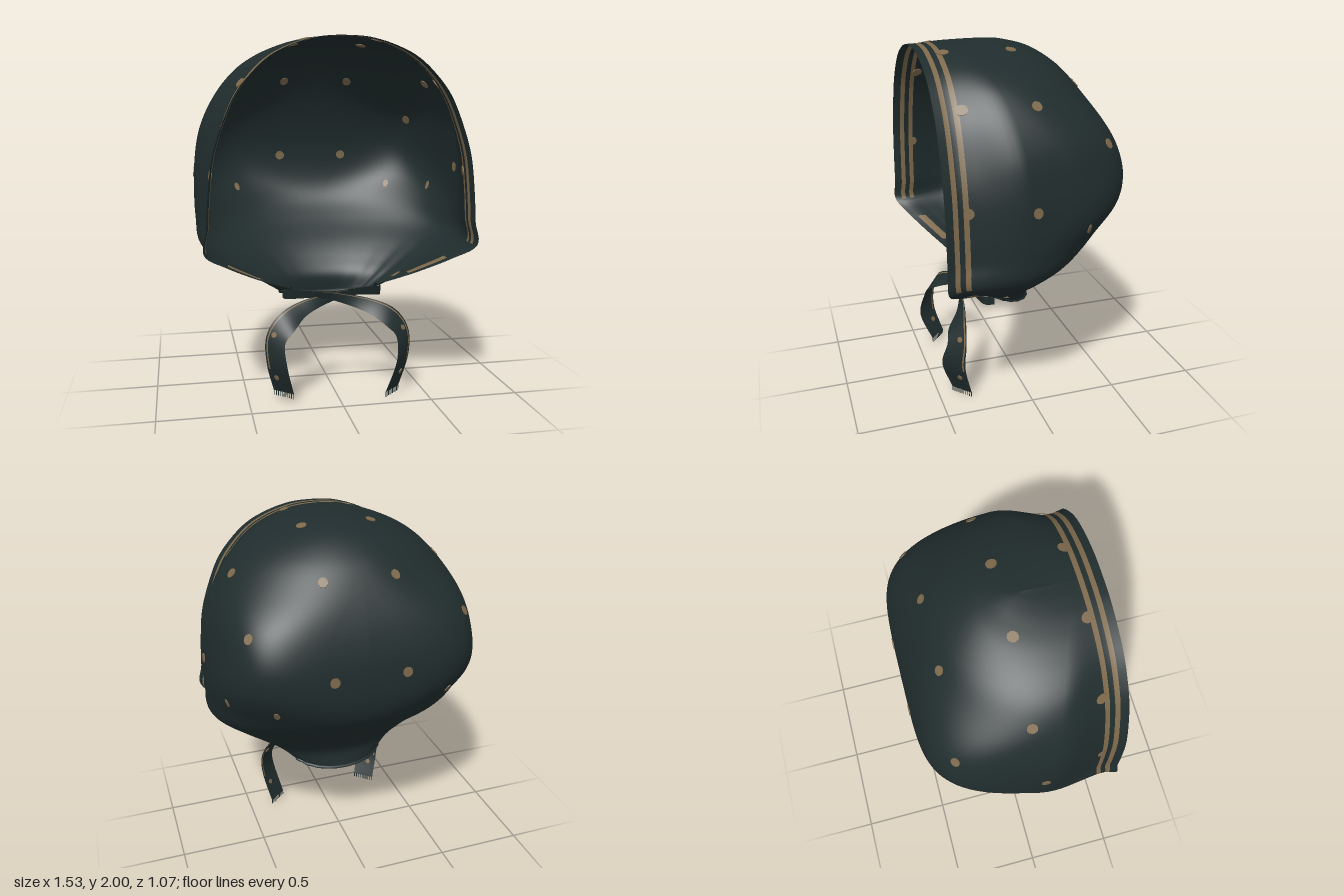
import * as THREE from 'three';

const fabric = new THREE.MeshStandardMaterial({ color: 0x202c2d, side: THREE.DoubleSide });
fabric.name = 'dark green fabric';
const tan = new THREE.MeshStandardMaterial({ color: 0x7d694b, side: THREE.DoubleSide });
tan.name = 'tan print';

// Sections of the hood from crown to neck: front edge (half width, y, z), back (widest half width, y, z)
const SECTIONS = [
  [0, 1.975, .53, 0, 2.0, .15],
  [.07, 1.973, .53, .09, 1.997, .07],
  [.145, 1.963, .53, .19, 1.982, -.01],
  [.25, 1.932, .53, .31, 1.95, -.12],
  [.36, 1.88, .53, .44, 1.885, -.23],
  [.455, 1.80, .53, .55, 1.80, -.32],
  [.55, 1.68, .53, .65, 1.66, -.41],
  [.62, 1.52, .53, .725, 1.50, -.48],
  [.67, 1.35, .53, .757, 1.33, -.522],
  [.693, 1.15, .53, .765, 1.15, -.525],
  [.702, 1.0, .53, .76, 1.02, -.48],
  [.715, .87, .53, .742, .90, -.37],
  [.60, .785, .455, .635, .78, -.23],
  [.47, .71, .37, .51, .69, -.15],
  [.36, .655, .30, .395, .60, -.095],
  [.24, .605, .235, .285, .495, -.10],
];
const LAST = SECTIONS.length - 1;
const curve = (pts) => new THREE.CatmullRomCurve3(pts, false, 'catmullrom', 0.5);
const frontCurve = curve(SECTIONS.map((s) => new THREE.Vector3(s[0], s[1], s[2])));
const backCurve = curve(SECTIONS.map((s) => new THREE.Vector3(s[3], s[4], s[5])));

const HEM = [0, .042, .068, .095, .122]; // distances of the stripe borders from the front edge
const SIDE = 7, BACK = 24, ROWS = 90;
const HALF = HEM.length - 1 + SIDE + BACK;
const { lerp, smoothstep } = THREE.MathUtils;

// A point of the hood: t runs from crown to neck, k from the front edge to the middle of the back
function hoodPoint(t, k, sign) {
  const f = frontCurve.getPoint(t), b = backCurve.getPoint(t);
  const depth = f.z - b.z, reach = depth * .4;
  const h = HEM.length - 1;
  let x, z;
  if (k <= h + SIDE) {
    const d = k <= h ? HEM[k] : lerp(HEM[h], reach, (k - h) / SIDE);
    const flare = 1 + .025 * Math.max(0, 1 - d / .1) ** 2;
    x = lerp(f.x, b.x, smoothstep(d / reach, .15, 1)) * flare;
    z = f.z - d;
  } else {
    // round at the crown and neck, squarer and tapered around the upper back corners
    const a = ((k - h - SIDE) / BACK) * Math.PI / 2;
    const square = Math.exp(-(((t - 7.5 / LAST) / .088) ** 2));
    const p = 2 / (2.15 + 3.6 * square);
    const u = Math.sin(a) ** p;
    x = k === HALF ? 0 : b.x * Math.cos(a) ** p * (1 - (.05 + .1 * square) * u ** 1.5);
    z = f.z - reach - (depth - reach) * u;
  }
  const y = lerp(f.y, b.y, (f.z - z) / depth);
  // soft gathers towards the neck
  const gather = 1 + .018 * smoothstep(t, .74, 1) * Math.sin(k * 1.5);
  return new THREE.Vector3(sign * x * gather, y, z);
}

// Indexed grid with two material groups
function gridGeometry(rows, isTan) {
  const n = rows[0].length, plain = [], printed = [];
  for (let i = 0; i < rows.length - 1; i++) {
    for (let j = 0; j < n - 1; j++) {
      const a = i * n + j, c = a + n;
      (isTan(i, j) ? printed : plain).push(a, c, a + 1, a + 1, c, c + 1);
    }
  }
  const g = new THREE.BufferGeometry().setFromPoints(rows.flat());
  g.setIndex([...plain, ...printed]);
  g.addGroup(0, plain.length, 0);
  g.addGroup(plain.length, printed.length, 1);
  g.computeVertexNormals();
  return g;
}

const hoodRow = (t) => Array.from({ length: 2 * HALF + 1 }, (_, j) =>
  hoodPoint(t, j <= HALF ? j : 2 * HALF - j, j <= HALF ? 1 : -1));

function makeHood() {
  const rows = [];
  for (let i = 0; i <= ROWS; i++) rows.push(hoodRow(i / ROWS));
  // two stripes along the face edge, and a short piece below the corner
  const g = gridGeometry(rows, (i, j) => {
    const k = Math.min(j, 2 * HALF - 1 - j), s = i / ROWS * LAST;
    return s < 11 ? k === 1 || k === 3 : s > 11.9 && s < 13.4 && (k === 1 || k === 2);
  });
  const hood = new THREE.Mesh(g, [fabric, tan]);
  hood.name = 'hood';
  return hood;
}

// Flat dots let into the fabric, so they show inside and out: x, y, z, width
function makeDots(hood) {
  const targets = [
    [.2, 1.78, -.34, .9], [.61, 1.54, -.37, .9], [.2, 1.98, .035, 1.05], [.59, 1.75, .03, 1],
    [.19, 1.96, .4, 1.2], [.54, 1.75, .4, 1.2], [.755, 1.26, .08, .9], [.7, 1.27, .41, .9],
    [.2, 1.3, -.52, 1], [.48, 1.12, -.42, .6], [.7, 1.12, -.22, .45], [.38, .66, .12, .6],
  ];
  const dots = new THREE.Group();
  dots.name = 'dots';
  const pos = hood.geometry.attributes.position, nor = hood.geometry.attributes.normal;
  const disc = new THREE.CylinderGeometry(.028, .028, .008, 10);
  const v = new THREE.Vector3(), up = new THREE.Vector3(0, 1, 0);
  for (const sign of [1, -1]) {
    for (const [x, y, z, width] of targets) {
      const target = new THREE.Vector3(sign * x, y, z);
      let best = 0, bestD = Infinity;
      for (let i = 0; i < pos.count; i++) {
        const d = v.fromBufferAttribute(pos, i).distanceToSquared(target);
        if (d < bestD) { bestD = d; best = i; }
      }
      const normal = new THREE.Vector3().fromBufferAttribute(nor, best).normalize();
      const at = new THREE.Vector3().fromBufferAttribute(pos, best);
      // slide within the tangent plane to the wanted place
      at.add(target.sub(at).projectOnPlane(normal).clampLength(0, .03));
      const level = up.clone().cross(normal).normalize();
      const dot = new THREE.Mesh(disc, tan);
      dot.name = 'dot';
      dot.quaternion.setFromRotationMatrix(
        new THREE.Matrix4().makeBasis(level, normal, level.clone().cross(normal)));
      dot.position.copy(at);
      dot.scale.x = width;
      dots.add(dot);
    }
  }
  return dots;
}

// Rolled edge around the neck
function makeNeckBand() {
  const path = new THREE.CatmullRomCurve3(hoodRow(1));
  const band = new THREE.Mesh(new THREE.TubeGeometry(path, 80, .01, 6), fabric);
  band.name = 'neckBand';
  return band;
}

// Ribbon from one side of the neck, crossing over and hanging down on the other side
function makeTie(sign, endY, crossZ) {
  const tie = new THREE.Group();
  tie.name = sign > 0 ? 'leftTie' : 'rightTie';
  const V = (x, y, z) => new THREE.Vector3(sign * x, y, z);
  const centre = curve([
    V(-.285, .562, .16), V(-.265, .57, .23), V(-.13, .578, crossZ - .01), V(0, .562, crossZ), V(.18, .512, crossZ + .035),
    V(.295, .45, .385), V(.358, .36, .405), V(.352, .22, .425), V(.31, endY, .37),
  ]);
  const width = curve([
    V(0, .025, 0), V(0, .028, .008), V(0, .022, .01), V(.004, .026, .008), V(.018, .034, -.015),
    V(.036, .036, -.042), V(.046, .012, -.044), V(.05, 0, -.055), V(.05, 0, -.045),
  ]);
  const across = [-1, -.5, 0, .5, .72, .86, 1];
  const rows = [];
  for (let i = 0; i <= 56; i++) {
    const c = centre.getPoint(i / 56), w = width.getPoint(i / 56);
    rows.push(across.map((a) => c.clone().addScaledVector(w, a)));
  }
  const ribbon = new THREE.Mesh(gridGeometry(rows, (i, j) => j === 4 && i > 16 && i < 50), [fabric, tan]);
  ribbon.name = 'ribbon';
  tie.add(ribbon);

  // frayed end
  const strand = new THREE.BoxGeometry(.004, .03, .004);
  for (let i = 0; i <= 9; i++) {
    const m = new THREE.Mesh(strand, fabric);
    m.name = 'fringe';
    m.position.copy(V(.31, endY - .012, .37)).addScaledVector(V(.05, 0, -.045), -.96 + i * .213);
    tie.add(m);
  }

  // printed dots on the hanging part
  const disc = new THREE.CylinderGeometry(.016, .016, .008, 10);
  for (const t of [.72, .93]) {
    const w = width.getPoint(t);
    const normal = w.clone().cross(centre.getTangent(t)).normalize();
    const dot = new THREE.Mesh(disc, tan);
    dot.name = 'tieDot';
    dot.position.copy(centre.getPoint(t)).addScaledVector(w, .3);
    dot.quaternion.setFromUnitVectors(new THREE.Vector3(0, 1, 0), normal);
    tie.add(dot);
  }
  return tie;
}

export function createModel() {
  const bonnet = new THREE.Group();
  bonnet.name = 'bonnet';
  const hood = makeHood();
  bonnet.add(hood, makeDots(hood), makeNeckBand(), makeTie(1, .027, .3), makeTie(-1, .055, .275));
  return bonnet;
}
